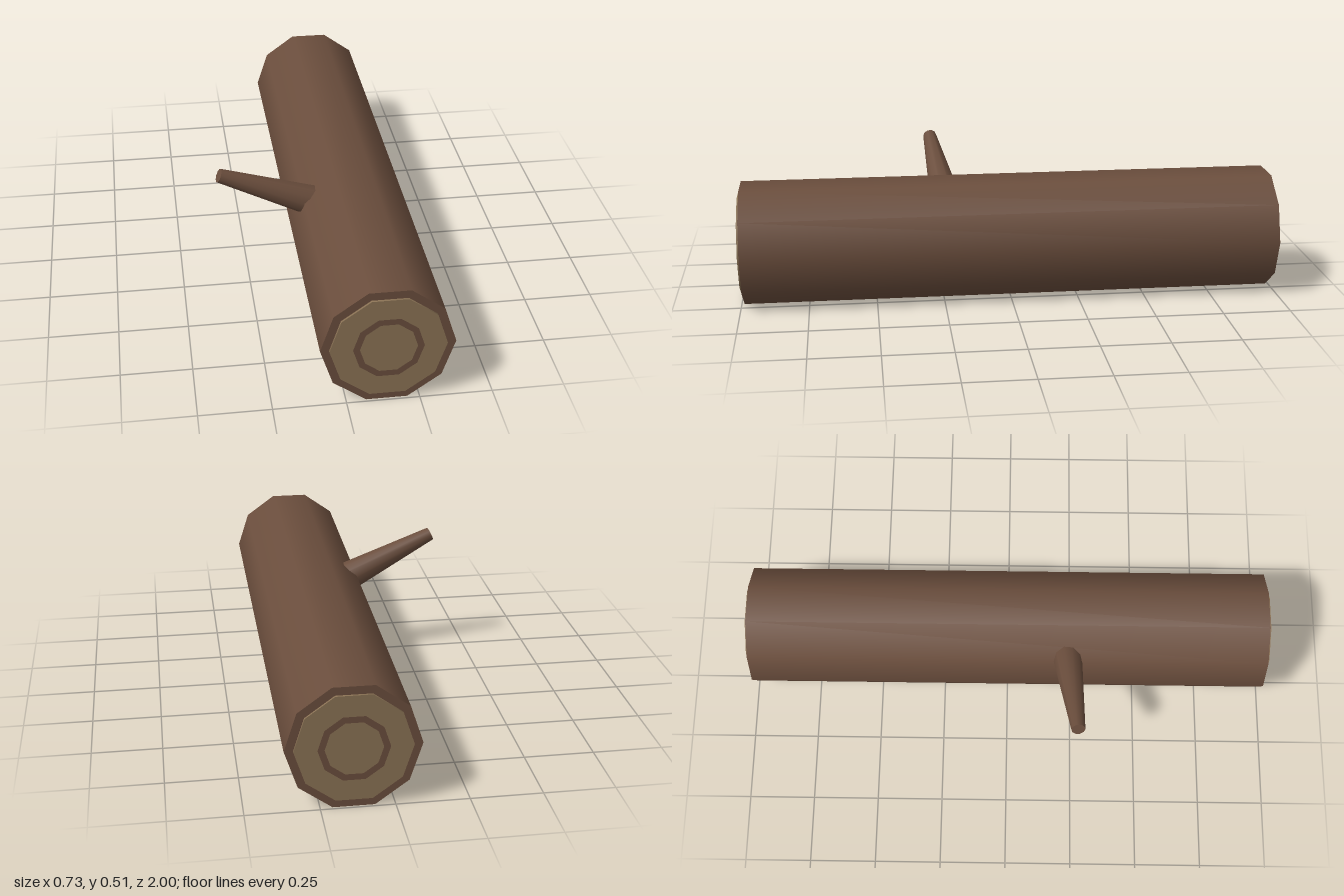
import * as THREE from 'three';

const SIDES = 10;
const CENTER = new THREE.Vector3(0.138, 0.217, 0);

function material(color) {
  const m = new THREE.MeshStandardMaterial();
  m.color.set(color);
  return m;
}

// Tapered round piece running from one point to another
function limb(name, from, to, rFrom, rTo, sides, mat) {
  const dir = to.clone().sub(from);
  const mesh = new THREE.Mesh(
    new THREE.CylinderGeometry(rTo, rFrom, dir.length(), sides), mat);
  mesh.name = name;
  mesh.position.copy(from).add(to).multiplyScalar(0.5);
  mesh.quaternion.setFromUnitVectors(new THREE.Vector3(0, 1, 0), dir.normalize());
  return mesh;
}

export function createModel() {
  const model = new THREE.Group();
  model.name = 'log';
  const bark = material(0x6b4e3d);
  const wood = material(0x8b7355);

  // Ten-sided trunk with flat corners pointing left and right
  const trunk = new THREE.Mesh(
    new THREE.CylinderGeometry(0.228, 0.228, 1.98, SIDES)
      .rotateY(Math.PI / 2).rotateX(Math.PI / 2), bark);
  trunk.name = 'trunk';
  trunk.position.copy(CENTER);
  model.add(trunk);

  // Cut wood face and growth ring at each end
  for (const side of [1, -1]) {
    const end = new THREE.Group();
    end.name = side > 0 ? 'frontCut' : 'backCut';
    end.position.copy(CENTER);
    if (side < 0) end.rotation.y = Math.PI;

    const face = new THREE.Mesh(
      new THREE.CylinderGeometry(0.198, 0.198, 0.018, SIDES)
        .rotateY(Math.PI / 2).rotateX(Math.PI / 2), wood);
    face.name = 'cutFace';
    face.position.z = 0.989;

    const ring = new THREE.Mesh(new THREE.RingGeometry(0.097, 0.12, SIDES), bark);
    ring.name = 'growthRing';
    ring.position.z = 1;

    end.add(face, ring);
    model.add(end);
  }

  // Tapered branch stub rising from the right side
  model.add(limb('branch',
    new THREE.Vector3(0.075, 0.291, 0.218),
    new THREE.Vector3(-0.356, 0.483, 0.262),
    0.066, 0.026, 10, bark));

  return model;
}
